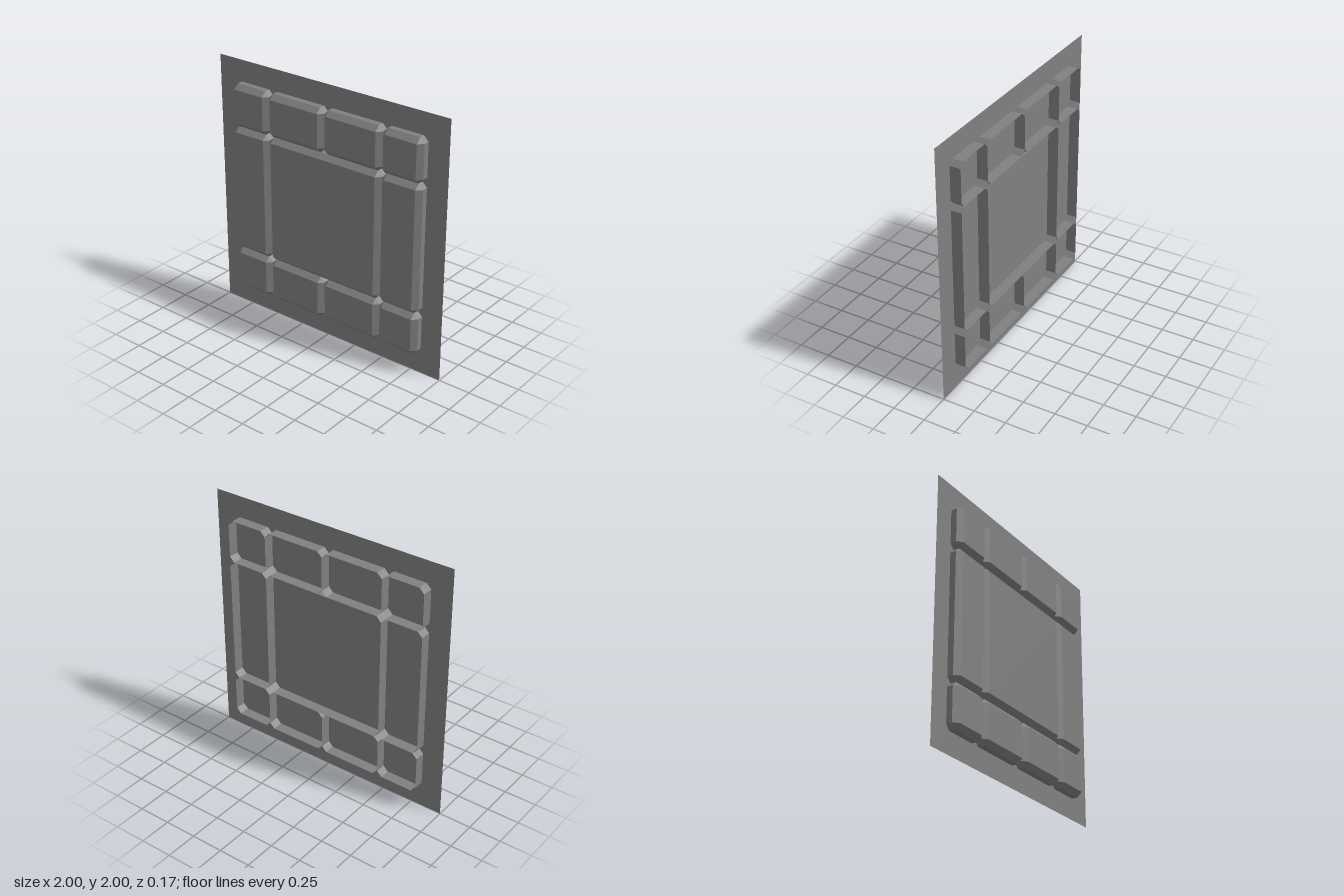
import * as THREE from 'three';

const material = new THREE.MeshStandardMaterial({
  color: 0x808080, flatShading: true, side: THREE.DoubleSide,
});
const BEVEL = 0.0375;
const DEPTH = 0.083;

// Hollow block, open at the back: eight-sided walls, bevelled rim, flat front
function blockGeometry(w, h) {
  const a = w / 2, b = h / 2, c = BEVEL;
  // outline, counter-clockwise; each pair of points straddles one corner
  const outline = [
    [a, b - c], [a - c, b], [-a + c, b], [-a, b - c],
    [-a, -b + c], [-a + c, -b], [a - c, -b], [a, -b + c],
  ];
  const corners = [[1, 1], [-1, 1], [-1, -1], [1, -1]]
    .map(([sx, sy]) => [sx * (a - c), sy * (b - c), DEPTH]);
  const positions = [];
  const tri = (...pts) => pts.forEach((p) => positions.push(...p));
  const quad = (p, q, r, s) => { tri(p, q, r); tri(p, r, s); };

  for (let i = 0; i < 8; i++) {
    const j = (i + 1) % 8;
    const p = outline[i], q = outline[j];
    const pm = [...p, DEPTH - c], qm = [...q, DEPTH - c];
    quad([...p, -DEPTH], [...q, -DEPTH], qm, pm);
    const k = i >> 1;
    if (i % 2 === 0) tri(pm, qm, corners[k]);
    else quad(pm, qm, corners[(k + 1) % 4], corners[k]);
  }
  quad(...corners);

  const geometry = new THREE.BufferGeometry();
  geometry.setAttribute('position', new THREE.Float32BufferAttribute(positions, 3));
  geometry.computeVertexNormals();
  return geometry;
}

export function createModel() {
  const model = new THREE.Group();
  model.name = 'panelledWall';

  // Thin backing sheet through the middle of the blocks
  const sheet = new THREE.Mesh(new THREE.PlaneGeometry(2, 2), material);
  sheet.name = 'backingSheet';
  sheet.position.y = 1;
  model.add(sheet);

  // Rows of blocks, given by their lower and upper edges and column edges
  const split = [-0.833, -0.5, 0, 0.5, 0.833];
  const whole = [-0.833, -0.5, 0.5, 0.833];
  const rows = [
    { name: 'bottomBlock', y0: 0.167, y1: 0.5, xs: split },
    { name: 'middleBlock', y0: 0.5, y1: 1.5, xs: whole },
    { name: 'topBlock', y0: 1.5, y1: 1.833, xs: split },
  ];
  for (const { name, y0, y1, xs } of rows) {
    for (let i = 0; i < xs.length - 1; i++) {
      const block = new THREE.Mesh(blockGeometry(xs[i + 1] - xs[i], y1 - y0), material);
      block.name = `${name}${i + 1}`;
      block.position.set((xs[i] + xs[i + 1]) / 2, (y0 + y1) / 2, 0);
      model.add(block);
    }
  }
  return model;
}
